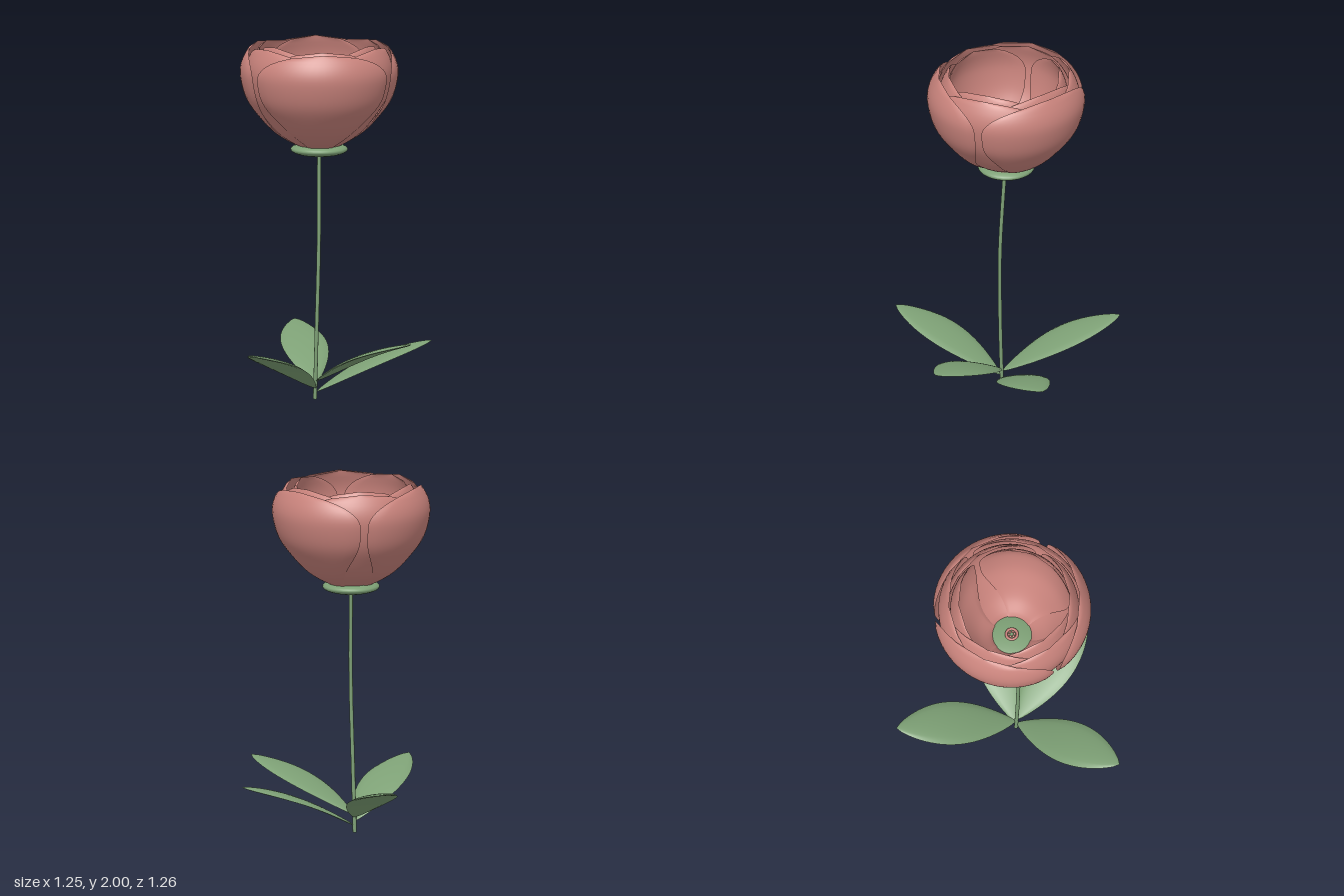
import * as THREE from 'three';

const petalPink = new THREE.MeshStandardMaterial({ color: 0xc9837c });
petalPink.name = 'petalPink';
const leafGreen = new THREE.MeshStandardMaterial({ color: 0x7da075 });
leafGreen.name = 'leafGreen';

const CX = 0.018, CZ = -0.018; // bloom axis

function add(parent, name, geometry, material) {
  const mesh = new THREE.Mesh(geometry, material);
  mesh.name = name;
  parent.add(mesh);
  return mesh;
}

// Closed thin shell: two grids over s in -1..1 and t in 0..1 that meet at the rim.
// point(s, t, side) returns a Vector3; side is +1 on the outer face, -1 on the inner.
function shell(point, ns, nt) {
  const positions = [], index = [];
  for (const side of [1, -1]) {
    const start = positions.length / 3;
    for (let j = 0; j <= nt; j++) {
      for (let i = 0; i <= ns; i++) {
        positions.push(...point((i / ns) * 2 - 1, j / nt, side).toArray());
      }
    }
    for (let j = 0; j < nt; j++) {
      for (let i = 0; i < ns; i++) {
        const a = start + j * (ns + 1) + i, b = a + 1, c = a + ns + 1, d = c + 1;
        if (side > 0) index.push(a, c, b, b, c, d);
        else index.push(a, b, c, b, d, c);
      }
    }
  }
  const g = new THREE.BufferGeometry();
  g.setAttribute('position', new THREE.Float32BufferAttribute(positions, 3));
  g.setIndex(index);
  g.computeVertexNormals();
  return g;
}

// Thickness falls to zero at every rim
const lens = (s, t) =>
  Math.sqrt(Math.max(0, 1 - s ** 4)) * Math.sqrt(Math.max(0, 1 - (2 * t - 1) ** 4));

// Petal: a slice of the cup profile, narrow at the base and rounded at the top
const profile = new THREE.SplineCurve([
  [0.11, 1.42], [0.235, 1.5], [0.33, 1.6], [0.398, 1.7], [0.43, 1.82], [0.422, 1.9], [0.38, 1.988],
].map(([r, y]) => new THREE.Vector2(r, y)));

function petalGeometry(layer) {
  const scale = 1 - 0.1 * layer;
  return shell((s, t, side) => {
    const p = profile.getPointAt(t);
    const n = profile.getTangentAt(t);
    const crown = t > 0.75 ? Math.sqrt(Math.max(0, 1 - ((t - 0.75) / 0.25) ** 2)) : 1;
    const half = (0.62 + 0.38 * THREE.MathUtils.smoothstep(t, 0, 0.65)) * crown;
    const off = 0.011 * lens(s, t) * side;
    const r = 0.1 + (p.x - 0.1) * scale + n.y * off;
    const y = p.y + 0.004 * layer - n.x * off;
    return new THREE.Vector3(r * Math.cos(s * half), y, r * Math.sin(s * half));
  }, 20, 32);
}

// Leaf: arched blade from the stem to its tip
function leafGeometry(base, tip) {
  const dir = new THREE.Vector3(tip.x - base.x, 0, tip.z - base.z).normalize();
  const across = new THREE.Vector3(dir.z, 0, -dir.x);
  return shell((s, t, side) => {
    const p = base.clone().lerp(tip, t);
    const width = 0.13 * Math.pow(Math.max(0, Math.sin(Math.PI * Math.pow(t, 1.1))), 0.75);
    p.addScaledVector(across, s * width);
    p.y += 0.04 * Math.sin(Math.PI * t) - 0.1 * s * s * width + 0.009 * lens(s, t) * side;
    return p;
  }, 12, 24);
}

export function createModel() {
  const model = new THREE.Group();
  model.name = 'flower';

  // Gently bowed stem
  const stemPath = new THREE.CatmullRomCurve3([
    new THREE.Vector3(-0.014, 0, -0.012),
    new THREE.Vector3(-0.012, 0.4, 0.002),
    new THREE.Vector3(-0.004, 0.85, 0.01),
    new THREE.Vector3(0.014, 1.4, -0.012),
  ]);
  add(model, 'stem', new THREE.TubeGeometry(stemPath, 24, 0.011, 10), leafGreen);
  const foot = add(model, 'stemFoot', new THREE.CircleGeometry(0.011, 10), leafGreen);
  foot.rotation.x = Math.PI / 2;
  foot.position.set(-0.014, 0.001, -0.012);

  // Leaves: base height and tip
  const leaves = new THREE.Group();
  leaves.name = 'leaves';
  model.add(leaves);
  for (const [y, tx, ty, tz] of [
    [0.06, -0.63, 0.33, 0.255],
    [0.04, 0.625, 0.305, 0.205],
    [0.085, 0.265, 0.35, -0.632],
    [0.1, 0.2, 0.37, 0.63],
  ]) {
    const base = new THREE.Vector3(-0.012, y, -0.008);
    add(leaves, 'leaf', leafGeometry(base, new THREE.Vector3(tx, ty, tz)), leafGreen);
  }

  // Bloom
  const bloom = new THREE.Group();
  bloom.name = 'bloom';
  bloom.position.set(CX, 0, CZ);
  model.add(bloom);

  const cup = add(bloom, 'flowerBase', new THREE.SphereGeometry(0.16, 32, 16), leafGreen);
  cup.scale.y = 0.24;
  cup.position.y = 1.404;

  // Four layers of three petals, every other layer turned by a sixth
  for (let layer = 0; layer < 4; layer++) {
    const geometry = petalGeometry(layer);
    for (let i = 0; i < 3; i++) {
      const petal = add(bloom, 'petal', geometry, petalPink);
      petal.rotation.y = (i * 2 + (layer % 2)) * Math.PI / 3;
    }
  }

  // Small crown in the middle
  const ring = add(bloom, 'centreRing', new THREE.TorusGeometry(0.031, 0.008, 8, 24), petalPink);
  ring.rotation.x = Math.PI / 2;
  ring.position.y = 1.446;
  for (let i = 0; i < 6; i++) {
    const a = i * Math.PI / 3;
    const bud = add(bloom, 'centreBud', new THREE.SphereGeometry(0.007, 10, 8), petalPink);
    bud.position.set(0.016 * Math.cos(a), 1.446, 0.016 * Math.sin(a));
  }
  return model;
}
